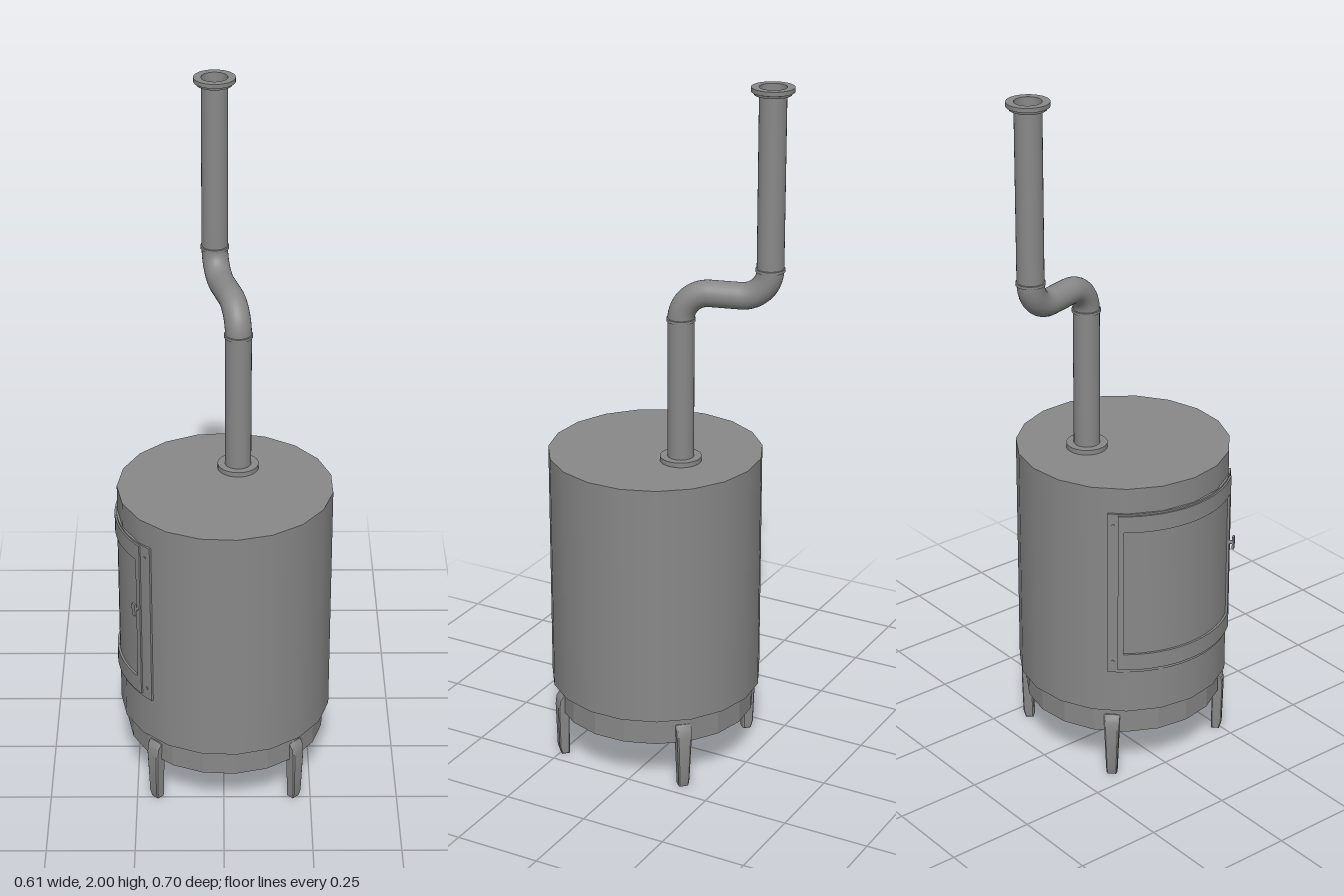
import * as THREE from 'three';
import { toCreasedNormals } from 'three/addons/utils/BufferGeometryUtils.js';

const iron = new THREE.MeshStandardMaterial({ color: 0x888888, side: THREE.DoubleSide });
const CX = 0.0046, CZ = 0.046; // axis of the drum
const TURN = -Math.PI / 2 + 0.02; // where the first corner of the drum sits
const rad = THREE.MathUtils.degToRad;

function part(parent, name, geometry, x = 0, y = 0, z = 0) {
  const m = new THREE.Mesh(geometry, iron);
  m.name = name;
  m.position.set(x, y, z);
  parent.add(m);
  return m;
}

const lathe = (pts, sides = 32, crease = 0.6) =>
  toCreasedNormals(new THREE.LatheGeometry(pts.map(p => new THREE.Vector2(...p)), sides, TURN), crease);

// Curved plate hugging the drum; angles in degrees from -x, positive towards the front
function curvedPlate(a0, a1, y0, y1, r0, r1) {
  const shape = new THREE.Shape();
  const n = 16;
  const at = (r, a) => [-r * Math.cos(rad(a)), -r * Math.sin(rad(a))];
  shape.moveTo(...at(r0, a0));
  for (let i = 0; i <= n; i++) shape.lineTo(...at(r1, a0 + (a1 - a0) * i / n));
  for (let i = n; i > 0; i--) shape.lineTo(...at(r0, a0 + (a1 - a0) * i / n));
  const g = new THREE.ExtrudeGeometry(shape, { depth: y1 - y0, bevelEnabled: false });
  g.rotateX(-Math.PI / 2).translate(0, y0, 0);
  return toCreasedNormals(g, 0.5);
}

// Rectangular curved frame made of two stiles and two rails
function curvedFrame(parent, name, a0, a1, y0, y1, da, dy, r0, r1) {
  const g = new THREE.Group();
  g.name = name;
  part(g, 'frameStileBack', curvedPlate(a0, a0 + da, y0, y1, r0, r1));
  part(g, 'frameStileFront', curvedPlate(a1 - da, a1, y0, y1, r0, r1));
  part(g, 'frameRailBottom', curvedPlate(a0 + da, a1 - da, y0, y0 + dy, r0, r1));
  part(g, 'frameRailTop', curvedPlate(a0 + da, a1 - da, y1 - dy, y1, r0, r1));
  parent.add(g);
}

export function createModel() {
  const model = new THREE.Group();
  model.name = 'stove';
  const stove = new THREE.Group();
  stove.name = 'stoveBody';
  stove.position.set(CX, 0, CZ);
  model.add(stove);

  // Drum with a many-sided outline, and the open faceted ring beneath it
  part(stove, 'drum', new THREE.CylinderGeometry(0.303, 0.303, 0.705, 19, 1, false, TURN), 0, 0.5725, 0);
  part(stove, 'baseRing', lathe([[0.258, 0.222], [0.258, 0.14], [0.284, 0.14], [0.284, 0.222]], 19, 0.2));

  // Four broad tapered legs on the diagonals
  const profile = new THREE.Shape();
  profile.moveTo(0.268, 0);
  profile.lineTo(0.286, 0);
  profile.lineTo(0.292, 0.02);
  profile.lineTo(0.295, 0.15);
  profile.lineTo(0.292, 0.175);
  profile.lineTo(0.282, 0.19);
  profile.lineTo(0.268, 0.19);
  for (let i = 0; i < 4; i++) {
    const g = new THREE.ExtrudeGeometry(profile, { depth: 0.032, bevelThickness: 0.004, bevelSize: 0.003, bevelSegments: 1 });
    g.translate(0, 0, -0.016);
    const p = g.attributes.position;
    for (let k = 0; k < p.count; k++) p.setZ(k, p.getZ(k) * (0.75 + 2 * p.getY(k)));
    g.translate(0, 0.003, 0);
    part(stove, 'leg', toCreasedNormals(g, 0.6)).rotation.y = Math.PI / 4 + i * Math.PI / 2;
  }

  // Door on the right side: flat surround, raised frame, window panel
  const door = new THREE.Group();
  door.name = 'door';
  stove.add(door);
  curvedFrame(door, 'doorSurround', -47, 47, 0.35, 0.85, 7, 0.03, 0.294, 0.3055);
  curvedFrame(door, 'doorFrame', -41.5, 40, 0.36, 0.845, 3, 0.05, 0.294, 0.3105);
  part(door, 'doorPanel', curvedPlate(-38.5, 37, 0.41, 0.795, 0.294, 0.304));

  // Rivets at the corners of the surround
  for (const a of [-44, 43.5]) for (const y of [0.385, 0.815]) {
    const pivot = new THREE.Group();
    pivot.name = 'rivet';
    pivot.rotation.y = rad(a);
    door.add(pivot);
    part(pivot, 'rivetHead', new THREE.CylinderGeometry(0.004, 0.005, 0.005, 8), -0.305, y, 0).rotation.z = Math.PI / 2;
  }

  // Door latch
  const latch = new THREE.Group();
  latch.name = 'latch';
  latch.rotation.y = rad(38);
  door.add(latch);
  part(latch, 'latchStem', new THREE.CylinderGeometry(0.006, 0.006, 0.022, 10), -0.313, 0.64, 0).rotation.z = Math.PI / 2;
  part(latch, 'latchGrip', new THREE.BoxGeometry(0.006, 0.038, 0.014), -0.322, 0.64, 0);

  // Flue pipe: hollow, with two bends
  const V = (x, y, z) => new THREE.Vector3(x, y, z);
  const low = V(0.041, 0, -0.055), high = V(-0.024, 0, -0.292);
  const b = 0.08;
  const dir = high.clone().sub(low).normalize().multiplyScalar(b);
  const on = (base, y, s = 0) => base.clone().addScaledVector(dir, s).setY(y);
  const k = 0.448; // start of the handles of a quarter bend, measured from its corner
  const path = new THREE.CurvePath();
  path.add(new THREE.CubicBezierCurve3(on(low, 1.34), on(low, 1.42 - b * k), on(low, 1.42, k), on(low, 1.42, 1)));
  path.add(new THREE.LineCurve3(on(low, 1.42, 1), on(high, 1.42, -1)));
  path.add(new THREE.CubicBezierCurve3(on(high, 1.42, -1), on(high, 1.42, -k), on(high, 1.42 + b * k), on(high, 1.5)));
  part(model, 'flueBend', new THREE.TubeGeometry(path, 40, 0.037, 28));

  const pipe = (name, base, y0, y1) =>
    part(model, name, new THREE.CylinderGeometry(0.037, 0.037, y1 - y0, 28, 1, true), base.x, (y0 + y1) / 2, base.z);
  pipe('flueLower', low, 0.925, 1.34);
  pipe('flueUpper', high, 1.5, 1.995);

  // Joint bands, bottom collar and top flange
  const band = [[0.037, -0.005], [0.04, -0.004], [0.04, 0.004], [0.037, 0.005]];
  part(model, 'flueBandLower', lathe(band), low.x, 1.34, low.z);
  part(model, 'flueBandUpper', lathe(band), high.x, 1.5, high.z);
  part(model, 'flueCollar', lathe([[0.058, 0], [0.058, 0.014], [0.037, 0.014]]), low.x, 0.925, low.z);
  part(model, 'flueFlange', lathe([[0.037, 0], [0.05, 0], [0.052, 0.006], [0.058, 0.008], [0.058, 0.02], [0.037, 0.02], [0.037, 0]]),
    high.x, 1.98, high.z);
  return model;
}
